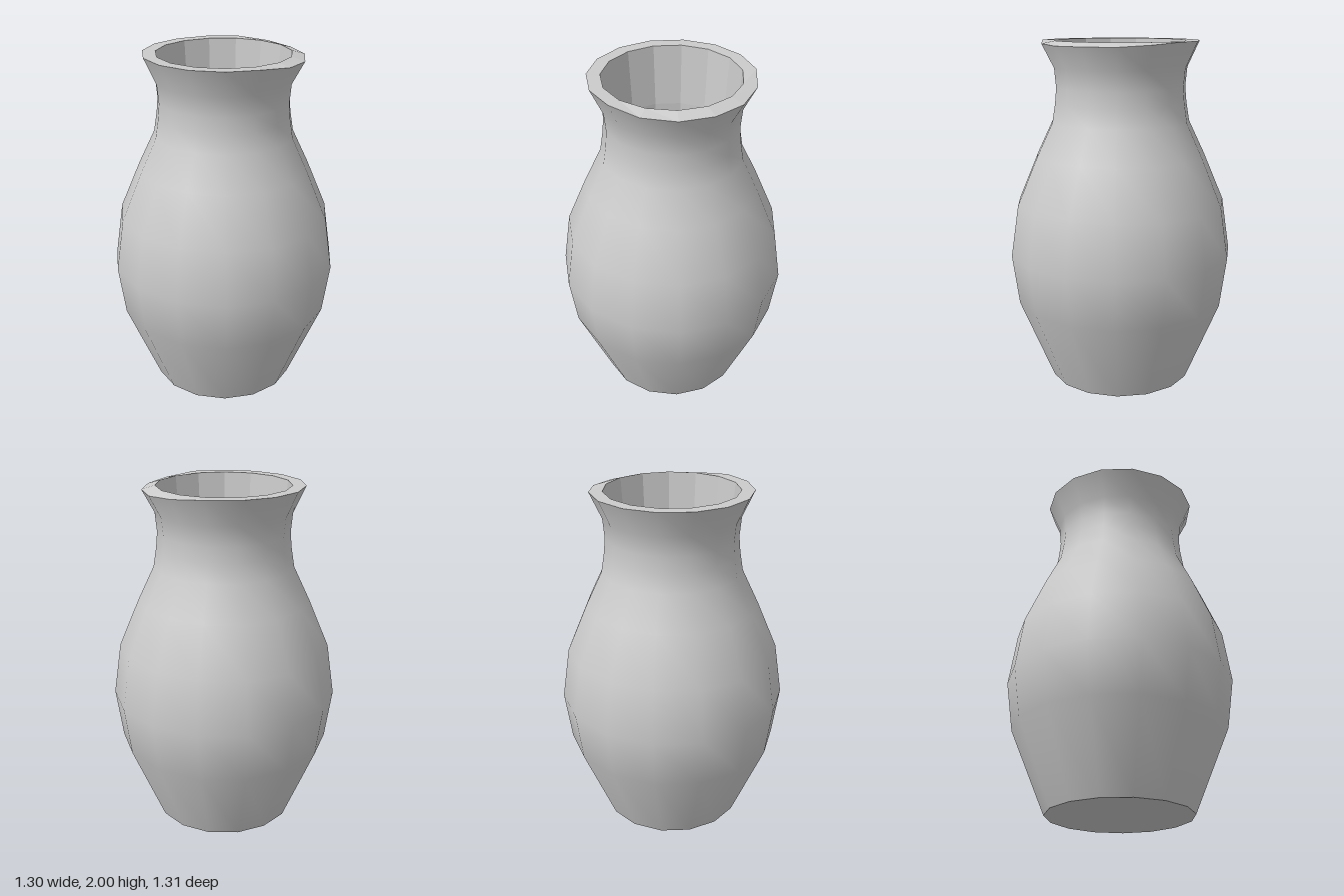
import * as THREE from 'three';

const SIDES = 15;

// Revolves a profile of [radius, height] pairs, with one corner on -x
function lathe(name, profile, flatShading) {
  const points = profile.map(([r, y]) => new THREE.Vector2(r, y));
  const geometry = new THREE.LatheGeometry(points, SIDES, -Math.PI / 2);
  const material = new THREE.MeshStandardMaterial({ color: 0xcccccc, flatShading });
  const mesh = new THREE.Mesh(geometry, material);
  mesh.name = name;
  return mesh;
}

// Lets the outer lip sag slightly on its left-front side
function sagLip(geometry) {
  const p = geometry.attributes.position;
  for (let i = 0; i < p.count; i++) {
    const x = p.getX(i), z = p.getZ(i);
    if (p.getY(i) < 1.99 || Math.hypot(x, z) < 0.42) continue;
    const facing = Math.cos(Math.atan2(z, x) - 0.25);
    p.setY(i, 2 - 0.022 * THREE.MathUtils.smoothstep(facing, 0.35, 0.9));
  }
}

export function createModel() {
  const vase = new THREE.Group();
  vase.name = 'vase';

  // Smooth outer wall: foot, belly, shoulder, neck, flared lip
  const body = lathe('body', [
    [0.418, 0], [0.617, 0.48], [0.657, 0.77], [0.612, 1.07], [0.495, 1.345],
    [0.402, 1.54], [0.384, 1.65], [0.376, 1.74], [0.386, 1.85], [0.455, 2],
  ], false);

  // Flat ring between the lip and the opening
  const rim = lathe('rim', [[0.455, 2], [0.38, 2]], true);
  [body, rim].forEach((mesh) => sagLip(mesh.geometry));

  // Faceted hollow and its floor
  const innerWall = lathe('innerWall', [[0.38, 2], [0.353, 1.65], [0.35, 0.1]], true);
  const floor = lathe('floor', [[0.35, 0.1], [0, 0.1]], true);

  // Flat underside
  const base = lathe('base', [[0, 0], [0.418, 0]], true);

  vase.add(body, rim, innerWall, floor, base);
  return vase;
}
